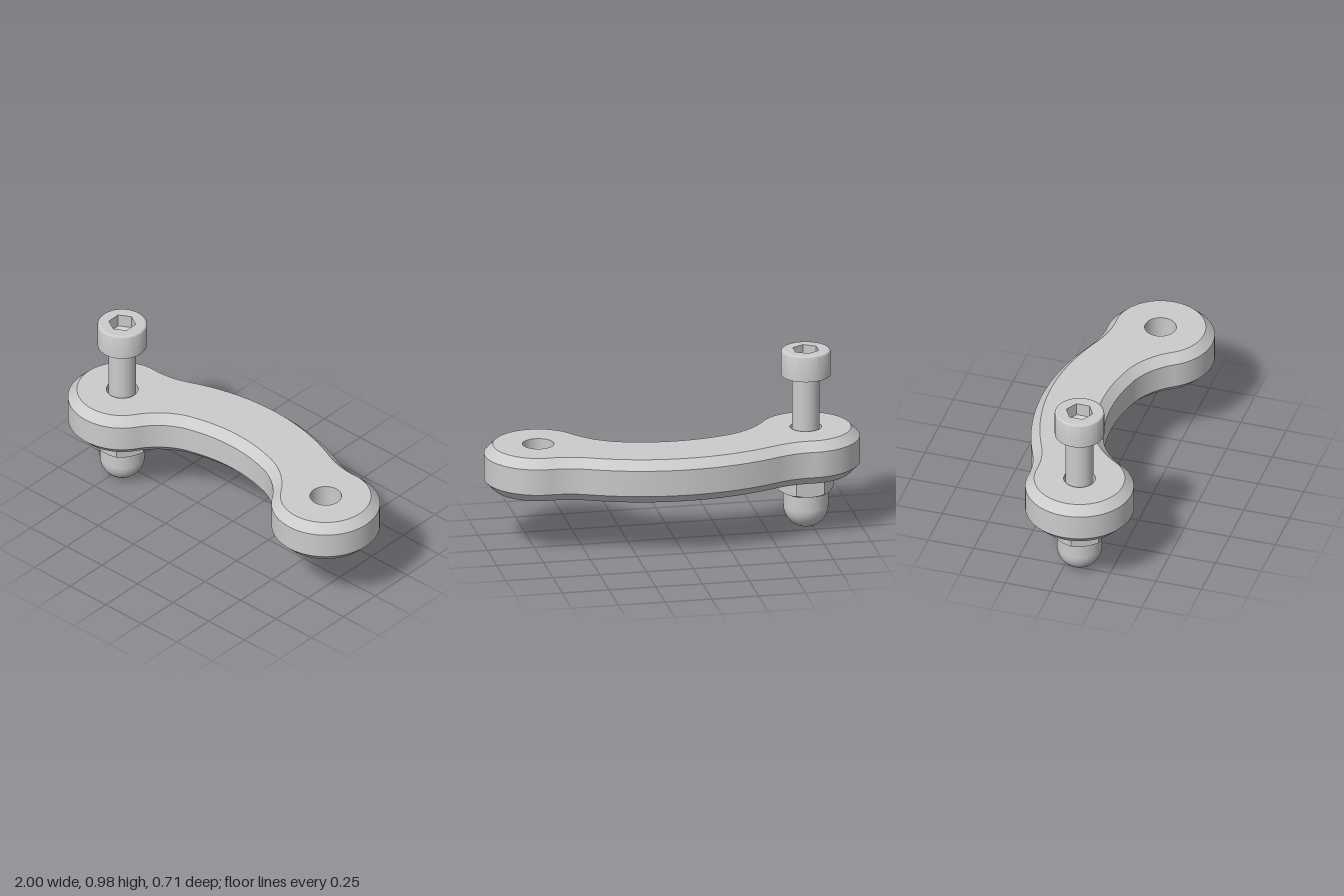
import * as THREE from 'three';
import { toCreasedNormals } from 'three/addons/utils/BufferGeometryUtils.js';

const smooth = new THREE.MeshStandardMaterial({ color: 0xcccccc });
const flat = new THREE.MeshStandardMaterial({ color: 0xcccccc, flatShading: true });
const inner = new THREE.MeshStandardMaterial({ color: 0xcccccc, side: THREE.BackSide });
const innerFlat = new THREE.MeshStandardMaterial({ color: 0xcccccc, side: THREE.BackSide, flatShading: true });

const PIVOT_X = 0.715, PIVOT_Z = 0.07;

function add(parent, name, geometry, material, x = 0, y = 0, z = 0) {
  const mesh = new THREE.Mesh(geometry, material);
  mesh.name = name;
  mesh.position.set(x, y, z);
  parent.add(mesh);
  return mesh;
}

// Closed band between two loops of [x, y, z] with equal counts
function band(low, high) {
  const n = low.length, index = [];
  for (let i = 0; i < n; i++) {
    const j = (i + 1) % n;
    index.push(i, n + i, j, j, n + i, n + j);
  }
  const g = new THREE.BufferGeometry();
  g.setAttribute('position', new THREE.Float32BufferAttribute([...low, ...high].flat(), 3));
  g.setIndex(index);
  g.computeVertexNormals();
  return g;
}

// Arm outline in (x, z), inset by d: tangent arcs, mirrored about x = 0
function outline(d) {
  const C = [0, 0.89], L = [PIVOT_X, PIVOT_Z], back = [0.69, -0.664], front = [0.138, 0.439];
  const angle = (from, to) => Math.atan2(to[1] - from[1], to[0] - from[0]);
  const half = [];
  const arc = (c, r, a0, a1, n) => {
    for (let i = 0; i < n; i++) {
      const a = a0 + (a1 - a0) * i / n;
      half.push([c[0] + r * Math.cos(a), c[1] + r * Math.sin(a)]);
    }
  };
  arc(C, 1.25 - d, -Math.PI / 2, angle(C, back), 14);
  arc(back, 0.45 + d, angle(back, C), angle(back, L), 10);
  arc(L, 0.285 - d, angle(L, back), angle(L, front), 48);
  arc(front, 0.4 + d, angle(front, L), angle(C, front), 14);
  arc(C, 0.87 + d, angle(C, front), -Math.PI / 2, 8);
  half.push([0, 0.02 - d]);
  const mirrored = half.slice(1, -1).reverse().map(([x, z]) => [-x, z]);
  return [...half, ...mirrored];
}

// Flat face with both pivot holes, facing up (s = 1) or down (s = -1)
function armFace(points, s) {
  const shape = new THREE.Shape(points.map(([x, z]) => new THREE.Vector2(x, -s * z)));
  for (const x of [-PIVOT_X, PIVOT_X]) {
    shape.holes.push(new THREE.Path().absarc(x, -s * PIVOT_Z, 0.083, 0, Math.PI * 2, true));
  }
  return new THREE.ShapeGeometry(shape, 24).rotateX(-s * Math.PI / 2);
}

function createArm() {
  const arm = new THREE.Group();
  arm.name = 'arm';
  const full = outline(0), inset = outline(0.047);
  const at = (pts, y) => pts.map(([x, z]) => [x, y, z]);
  add(arm, 'armLowerChamfer', band(at(inset, 0.312), at(full, 0.36)), smooth);
  add(arm, 'armSide', band(at(full, 0.36), at(full, 0.5)), smooth);
  add(arm, 'armUpperChamfer', band(at(full, 0.5), at(inset, 0.548)), smooth);
  add(arm, 'armTop', armFace(inset, 1), smooth, 0, 0.548);
  add(arm, 'armBottom', armFace(inset, -1), smooth, 0, 0.312);
  for (const x of [-PIVOT_X, PIVOT_X]) {
    add(arm, 'pivotHole', new THREE.CylinderGeometry(0.083, 0.083, 0.236, 48, 1, true), inner, x, 0.43, PIVOT_Z);
  }
  return arm;
}

function createBolt() {
  const bolt = new THREE.Group();
  bolt.name = 'bolt';
  add(bolt, 'shank', new THREE.CylinderGeometry(0.0725, 0.0725, 0.64, 40), smooth, 0, 0.52);

  // Cap head with a rounded top edge
  const profile = [new THREE.Vector2(0, 0.837), new THREE.Vector2(0.13, 0.837)];
  for (let i = 0; i <= 4; i++) {
    const a = i * Math.PI / 8;
    profile.push(new THREE.Vector2(0.118 + 0.012 * Math.cos(a), 0.965 + 0.012 * Math.sin(a)));
  }
  add(bolt, 'boltHead', toCreasedNormals(new THREE.LatheGeometry(profile, 48), 0.6), smooth);

  // Hex socket with a conical floor
  const top = new THREE.Shape().absarc(0, 0, 0.118, 0, Math.PI * 2);
  const hex = [];
  for (let i = 0; i < 6; i++) {
    const a = i * Math.PI / 3;
    hex.push(new THREE.Vector2(0.072 * Math.sin(a), 0.072 * Math.cos(a)));
  }
  top.holes.push(new THREE.Path(hex));
  add(bolt, 'headTop', new THREE.ShapeGeometry(top, 24).rotateX(-Math.PI / 2), smooth, 0, 0.977);
  add(bolt, 'socketWall', new THREE.CylinderGeometry(0.072, 0.072, 0.07, 6, 1, true), innerFlat, 0, 0.942);
  add(bolt, 'socketFloor', new THREE.CylinderGeometry(0.072, 0, 0.035, 6, 1, true), innerFlat, 0, 0.8895);
  return bolt;
}

function createDomeNut() {
  const nut = new THREE.Group();
  nut.name = 'domeNut';
  // Hex prism trimmed by a shallow cone at both ends, giving curved edges
  const apothem = 0.128, steps = 72, y0 = 0.197, y1 = 0.312;
  const loop = (radius, height) => Array.from({ length: steps }, (_, i) => {
    const a = i * Math.PI * 2 / steps;
    const toFlat = a % (Math.PI / 3) - Math.PI / 6;
    const h = apothem / Math.cos(toFlat);
    const r = radius ?? h;
    return [r * Math.cos(a), height((h - apothem) * 0.577), r * Math.sin(a)];
  });
  const loops = [
    loop(0, () => y0), loop(apothem, () => y0), loop(null, c => y0 + c),
    loop(null, c => y1 - c), loop(apothem, () => y1), loop(0, () => y1),
  ];
  const names = ['nutBottom', 'nutLowerChamfer', 'nutSides', 'nutUpperChamfer', 'nutTop'];
  names.forEach((name, i) => add(nut, name, band(loops[i], loops[i + 1]), flat));

  // Rounded cap
  const profile = [];
  for (let i = 0; i <= 16; i++) {
    const a = i * Math.PI / 32;
    profile.push(new THREE.Vector2(0.1185 * Math.sin(a), 0.1185 * (1 - Math.cos(a))));
  }
  profile.push(new THREE.Vector2(0.1185, 0.2));
  add(nut, 'dome', new THREE.LatheGeometry(profile, 48), smooth);
  return nut;
}

export function createModel() {
  const model = new THREE.Group();
  model.name = 'pivotLink';
  model.add(createArm());
  for (const part of [createBolt(), createDomeNut()]) {
    part.position.set(-PIVOT_X, 0, PIVOT_Z);
    model.add(part);
  }
  return model;
}
